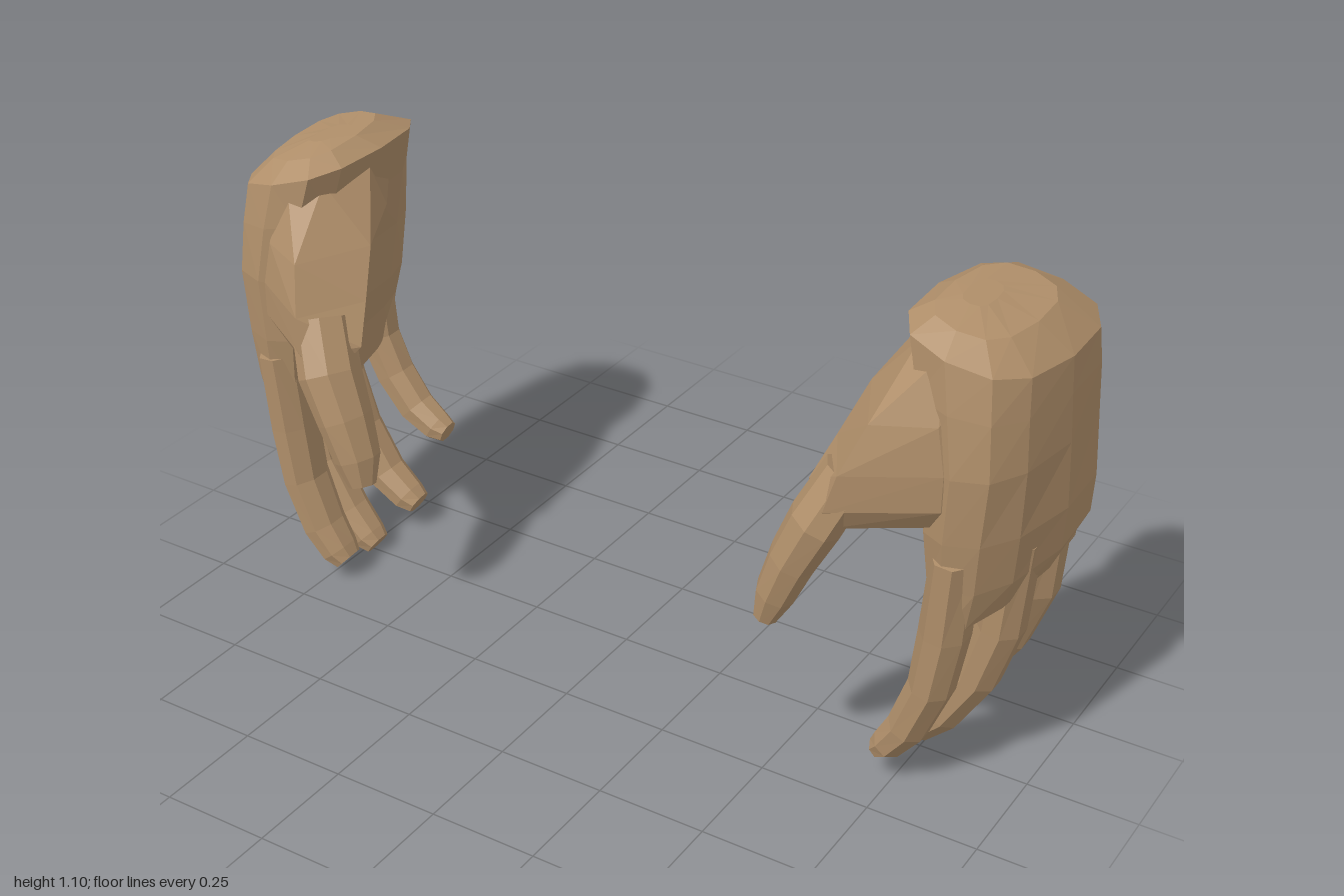
import * as THREE from 'three';

const V = (x, y, z) => new THREE.Vector3(x, y, z);

// Skin closed rings of points into a capped solid; side = -1 mirrors it across x
function loft(rings, side) {
  const n = rings[0].length, pos = [], idx = [];
  const tri = (a, b, c) => (side > 0 ? idx.push(a, b, c) : idx.push(a, c, b));
  const add = p => pos.push(p.x * side, p.y, p.z);
  rings.forEach(r => r.forEach(add));
  for (let i = 0; i < rings.length - 1; i++) {
    for (let j = 0; j < n; j++) {
      const k = (j + 1) % n, a = i * n, b = a + n;
      tri(a + j, a + k, b + k);
      tri(a + j, b + k, b + j);
    }
  }
  const last = (rings.length - 1) * n, c = rings.length * n;
  for (const ring of [rings[0], rings[rings.length - 1]]) {
    const m = V(0, 0, 0);
    ring.forEach(p => m.add(p));
    add(m.divideScalar(n));
  }
  for (let j = 0; j < n; j++) {
    const k = (j + 1) % n;
    tri(c, k, j);
    tri(c + 1, last + j, last + k);
  }
  const g = new THREE.BufferGeometry();
  g.setAttribute('position', new THREE.Float32BufferAttribute(pos, 3));
  g.setIndex(idx);
  const flat = g.toNonIndexed();
  flat.computeVertexNormals();
  return flat;
}

// Rings across a path; each point is [x, y, z, half width, half thickness]
function limbRings(path, wide, sides = 8) {
  const pts = path.map(p => V(p[0], p[1], p[2]));
  return path.map((p, i) => {
    const t = pts[Math.min(i + 1, pts.length - 1)].clone().sub(pts[Math.max(i - 1, 0)]).normalize();
    const w = wide.clone().addScaledVector(t, -wide.dot(t)).normalize();
    const u = t.clone().cross(w);
    return Array.from({ length: sides }, (_, j) => {
      const a = ((j + 0.5) / sides) * Math.PI * 2;
      return pts[i].clone()
        .addScaledVector(w, Math.cos(a) * p[3] * 1.08)
        .addScaledVector(u, Math.sin(a) * p[4] * 1.08);
    });
  });
}

// Horizontal palm section: y, centre x and z, half sizes, skew and bow of the back,
// tilt in y from palm side to back, and slope in y along z
function palmRing([y, cx, cz, rx, rz, skew, bow, tilt, slope]) {
  const round = v => Math.sign(v) * Math.pow(Math.abs(v), 0.75);
  return Array.from({ length: 12 }, (_, j) => {
    const a = (j / 12) * Math.PI * 2, c = round(Math.cos(a)), s = round(Math.sin(a));
    return V(cx - rx * s + skew * c + bow * c * c, y - tilt * s + slope * c, cz + rz * c);
  });
}

const palm = [
  [1.095, 0.80, -0.02, 0.03, 0.06, 0, 0, -0.005, 0],
  [1.08, 0.825, -0.03, 0.09, 0.15, -0.015, 0, -0.02, -0.005],
  [1.03, 0.835, -0.06, 0.147, 0.235, -0.02, 0, -0.04, 0.005],
  [0.93, 0.855, -0.06, 0.132, 0.25, -0.02, 0, -0.02, 0],
  [0.80, 0.88, -0.065, 0.113, 0.265, -0.015, -0.01, 0, 0],
  [0.65, 0.898, -0.067, 0.102, 0.263, -0.025, -0.025, 0, 0],
  [0.55, 0.908, -0.07, 0.086, 0.255, -0.03, -0.03, 0, -0.02],
  [0.46, 0.908, -0.065, 0.067, 0.24, -0.03, -0.035, 0.04, -0.045],
];

// Broad base of the thumb: y, then x, z around each section
// from the front, past the thumb side, to the palm and back inside the hand
const thumbBase = [
  [1.03, [[0.80, 0.14], [0.73, 0.10], [0.70, -0.03], [0.74, -0.16], [0.85, -0.05], [0.87, 0.08]]],
  [0.90, [[0.82, 0.19], [0.70, 0.25], [0.622, 0.08], [0.73, -0.12], [0.86, -0.06], [0.88, 0.10]]],
  [0.80, [[0.84, 0.195], [0.665, 0.30], [0.588, 0.15], [0.77, -0.09], [0.87, -0.06], [0.89, 0.10]]],
  [0.72, [[0.84, 0.195], [0.645, 0.315], [0.56, 0.21], [0.81, -0.07], [0.88, -0.04], [0.89, 0.10]]],
  [0.67, [[0.81, 0.18], [0.65, 0.285], [0.60, 0.25], [0.82, -0.04], [0.88, -0.02], [0.89, 0.10]]],
];

const thumb = [
  [0.655, 0.77, 0.225, 0.065, 0.05],
  [0.608, 0.665, 0.265, 0.068, 0.053],
  [0.565, 0.57, 0.275, 0.06, 0.047],
  [0.532, 0.48, 0.28, 0.05, 0.04],
  [0.515, 0.42, 0.29, 0.03, 0.024],
];

// Finger half width, z at base and tip, then centre line x, y from knuckle to tip
const fingers = {
  indexFinger: [0.058, 0.13, 0.123, [[0.855, 0.60], [0.841, 0.41], [0.821, 0.27], [0.776, 0.15], [0.735, 0.09], [0.712, 0.068]]],
  middleFinger: [0.054, 0.005, 0, [[0.93, 0.60], [0.91, 0.38], [0.87, 0.24], [0.80, 0.12], [0.745, 0.06], [0.72, 0.043]]],
  ringFinger: [0.054, -0.143, -0.152, [[0.935, 0.61], [0.918, 0.40], [0.87, 0.26], [0.80, 0.15], [0.735, 0.10], [0.706, 0.085]]],
  littleFinger: [0.048, -0.265, -0.274, [[0.91, 0.64], [0.895, 0.46], [0.85, 0.36], [0.79, 0.28], [0.73, 0.24], [0.70, 0.23]]],
};
const widths = [1.15, 1.04, 1, 0.94, 0.82, 0.62];
const depths = [0.046, 0.049, 0.045, 0.042, 0.035, 0.024];

function makeHand(side, material) {
  const hand = new THREE.Group();
  const part = (name, rings) => {
    const mesh = new THREE.Mesh(loft(rings, side), material);
    mesh.name = name;
    hand.add(mesh);
  };
  part('palm', palm.map(palmRing));
  part('thumbBase', thumbBase.map(([y, ring]) => ring.map(([x, z]) => V(x, y, z))));
  part('thumb', limbRings(thumb, V(0.4, 0, 0.9)));
  for (const [name, [half, z0, z1, line]] of Object.entries(fingers)) {
    const path = line.map(([x, y], i) => {
      const z = z0 + ((z1 - z0) * i) / (line.length - 1);
      return [x, y, z, half * widths[i], depths[i]];
    });
    part(name, limbRings(path, V(0, 0, 1)));
  }
  return hand;
}

export function createModel() {
  const skin = new THREE.MeshStandardMaterial({ color: 0xb08f6a });
  skin.name = 'tan skin';
  skin.flatShading = true;
  const model = new THREE.Group();
  model.name = 'pairOfHands';
  const left = makeHand(1, skin);
  left.name = 'leftHand';
  // The right hand hangs slightly lower
  const right = makeHand(-1, skin);
  right.name = 'rightHand';
  right.position.y = -0.022;
  model.add(left, right);
  return model;
}
